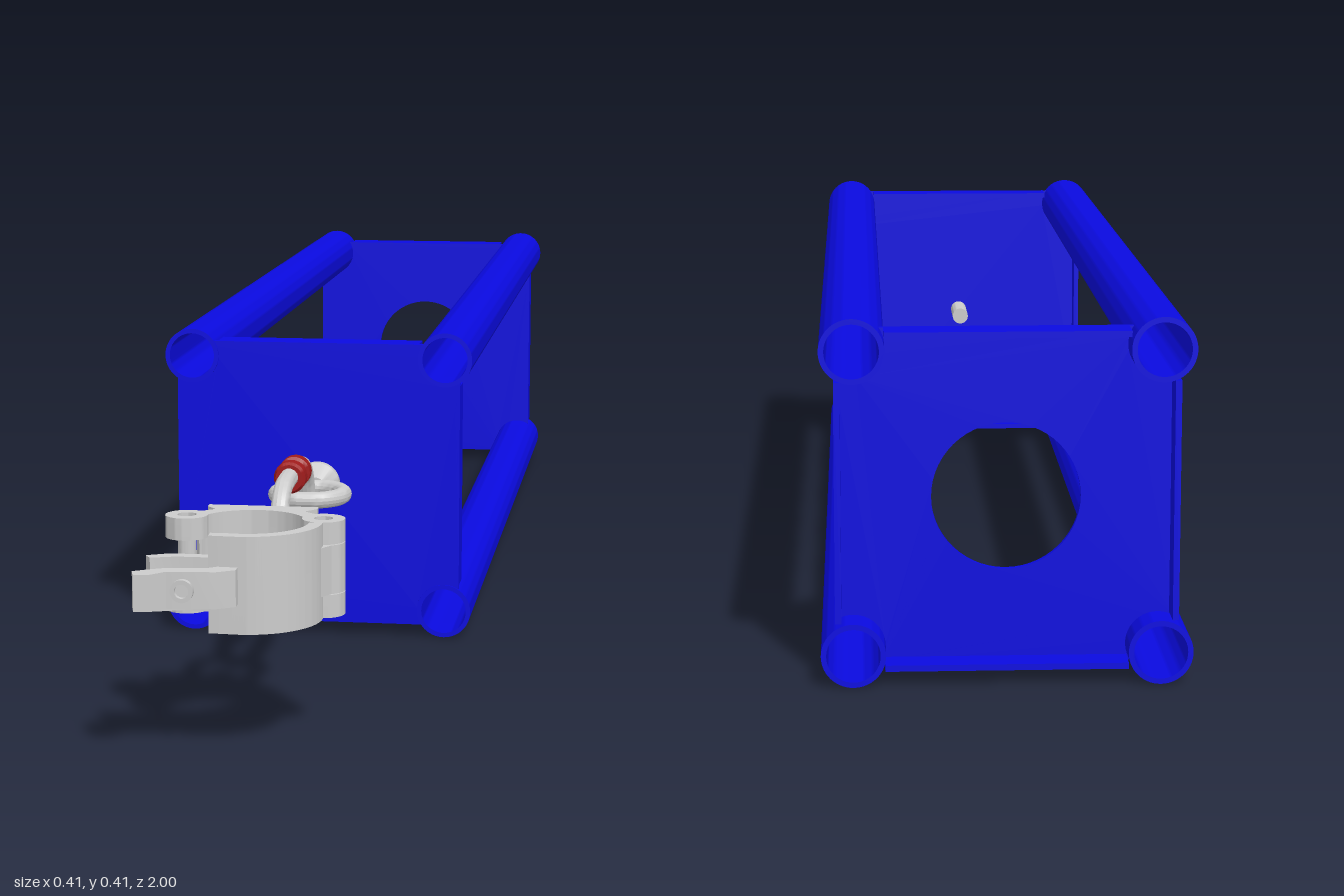
import * as THREE from 'three';
import { toCreasedNormals } from 'three/addons/utils/BufferGeometryUtils.js';

const blue = new THREE.MeshStandardMaterial({ color: 0x0a0ae0 });
const steel = new THREE.MeshStandardMaterial({ color: 0xcccccc });
const red = new THREE.MeshStandardMaterial({ color: 0xa01c1c });
const MID = 0.209; // height of the central axis

function add(parent, name, geometry, material, x = 0, y = 0, z = 0) {
  const mesh = new THREE.Mesh(toCreasedNormals(geometry, 0.6), material);
  mesh.name = name;
  mesh.position.set(x, y, z);
  parent.add(mesh);
  return mesh;
}

const extrude = (shape, depth) =>
  new THREE.ExtrudeGeometry(shape, { depth, bevelEnabled: false, curveSegments: 28 });

const hole = (x, y, r) => new THREE.Path().absarc(x, y, r, 0, Math.PI * 2, true);

function ring(x, y, outer, inner) {
  const s = new THREE.Shape().absarc(x, y, outer, 0, Math.PI * 2, false);
  s.holes.push(hole(x, y, inner));
  return s;
}

// Plan outline in (x, z), extruded vertically between two heights
function slab(parent, name, shape, y0, y1) {
  return add(parent, name, extrude(shape, y1 - y0).rotateX(Math.PI / 2), steel, 0, y1, 0);
}

// Solid of revolution about the z axis, profile as [radius, z]
const turned = (profile, sides = 28) =>
  new THREE.LatheGeometry(profile.map(([r, z]) => new THREE.Vector2(r, z)), sides).rotateX(Math.PI / 2);

const polygon = pts => new THREE.Shape(pts.map(([x, y]) => new THREE.Vector2(x, y)));

// End plate: corners scooped around the tubes, edges folded backwards
function endPlate(name, zFace, holeRadius) {
  const g = new THREE.Group();
  g.name = name;
  const t = 0.007, depth = 0.041, half = 0.19, c = 0.17;
  const shape = new THREE.Shape();
  for (let i = 0; i < 4; i++) {
    const turn = i * Math.PI / 2, start = Math.atan2(-0.03, 0.02), end = Math.atan2(0.02, -0.03);
    const a = Math.PI / 4 + turn, d = c * Math.SQRT2;
    shape.absarc(d * Math.cos(a), d * Math.sin(a), 0.036, start + turn, end + turn, true);
  }
  shape.closePath();
  if (holeRadius) shape.holes.push(hole(0, 0, holeRadius));
  add(g, 'plateFace', extrude(shape, t), blue, 0, 0, -t);
  for (let i = 0; i < 4; i++) {
    const flange = new THREE.BoxGeometry(0.27, t, depth).translate(0, half - t / 2, -depth / 2);
    add(g, 'plateFlange', flange.rotateZ(i * Math.PI / 2), blue);
  }
  g.position.set(0, MID, zFace);
  return g;
}

function buildFrame() {
  const g = new THREE.Group();
  g.name = 'frame';
  for (const x of [-0.17, 0.17]) for (const y of [-0.17, 0.17])
    add(g, 'cornerTube', extrude(ring(0, 0, 0.036, 0.03), 1.357), blue, x, MID + y, -1);
  g.add(endPlate('frontPlate', 0.355, 0), endPlate('backPlate', -0.953, 0.083));
  return g;
}

function buildEyeBolt() {
  const g = new THREE.Group();
  g.name = 'eyeBolt';
  add(g, 'boltShank', turned([[0, 0.275], [0.012, 0.275], [0.012, 0.36], [0, 0.36]]), steel);
  add(g, 'boltCollar', turned([[0, 0.355], [0.03, 0.355], [0.03, 0.365], [0.014, 0.385], [0, 0.385]]), steel);
  add(g, 'boltEye', new THREE.TorusGeometry(0.044, 0.011, 16, 40).rotateX(Math.PI / 2), steel, 0, 0, 0.426);
  g.position.y = MID;
  return g;
}

// Oval link standing in the vertical plane, with its screw sleeve on top
function buildLink() {
  const g = new THREE.Group();
  g.name = 'quickLink';
  const pts = [], r = 0.053, straight = 0.056;
  for (let i = 0; i < 2; i++) {
    for (let k = 0; k <= 8; k++) {
      const a = -Math.PI / 2 + Math.PI * (i + k / 8);
      pts.push(new THREE.Vector3(0, r * Math.sin(a), r * Math.cos(a) + (i ? -straight : straight)));
    }
  }
  const path = new THREE.CatmullRomCurve3(pts, true, 'centripetal');
  add(g, 'linkWire', new THREE.TubeGeometry(path, 96, 0.0115, 14, true), steel);
  const sleeve = [[0, -0.03], [0.017, -0.03], [0.02, -0.026], [0.02, -0.01], [0.016, -0.007],
    [0.016, 0.007], [0.02, 0.01], [0.02, 0.026], [0.017, 0.03], [0, 0.03]];
  add(g, 'linkSleeve', turned(sleeve), red, 0, r, 0);
  g.position.set(0, MID, 0.564);
  return g;
}

// Eye nut joining the link to the clamp
function buildEyeNut() {
  const g = new THREE.Group();
  g.name = 'eyeNut';
  const pts = [new THREE.Vector3(0.036, 0, 0.755)];
  for (let k = 0; k <= 10; k++) {
    const a = Math.PI * k / 10;
    pts.push(new THREE.Vector3(0.043 * Math.cos(a), 0, 0.694 - 0.043 * Math.sin(a)));
  }
  pts.push(new THREE.Vector3(-0.036, 0, 0.755));
  add(g, 'nutBow', new THREE.TubeGeometry(new THREE.CatmullRomCurve3(pts), 48, 0.011, 14), steel);
  const base = turned([[0, 0.742], [0.036, 0.742], [0.045, 0.752], [0.045, 0.766], [0.036, 0.779], [0, 0.779]]);
  add(g, 'nutBase', base.scale(1, 0.62, 1), steel);
  add(g, 'nutStud', turned([[0, 0.718], [0.013, 0.718], [0.013, 0.78], [0, 0.78]]), steel);
  g.position.y = MID;
  return g;
}

// Half coupler with its jaw, hinge and closing tongue
function buildClamp() {
  const g = new THREE.Group();
  g.name = 'clamp';
  const y0 = 0.153, y1 = 0.265, cz = 0.866, ex = 0.08, ez = 0.837;

  // Saddle: flat foot with a round seat
  const saddle = new THREE.Shape();
  saddle.moveTo(-0.065, 0.777);
  saddle.lineTo(0.065, 0.777);
  saddle.lineTo(0.065, 0.788);
  saddle.lineTo(0.053, 0.803);
  saddle.lineTo(0.072, 0.82);
  saddle.lineTo(0.064, 0.846);
  saddle.absarc(0, cz, 0.064, -0.32, -Math.PI + 0.32, true);
  saddle.lineTo(-0.064, 0.846);
  saddle.lineTo(-0.072, 0.82);
  saddle.lineTo(-0.053, 0.803);
  saddle.lineTo(-0.065, 0.788);
  saddle.closePath();
  slab(g, 'saddle', saddle, y0, y1);

  // Forked ears on both sides, each with a pin
  for (const x of [-ex, ex]) {
    for (const [a, b] of [[y0, 0.18], [0.239, y1]]) slab(g, 'saddleEar', ring(x, ez, 0.025, 0.011), a, b);
    add(g, 'earPin', new THREE.CylinderGeometry(0.011, 0.011, 0.1, 20), steel, x, MID, ez);
  }
  slab(g, 'jawKnuckle', ring(ex, ez, 0.025, 0.011), 0.181, 0.238);

  // Jaw: curved arm from the hinge round to the front
  const jaw = new THREE.Shape();
  jaw.absarc(0, cz, 0.083, -0.05, 1.65, false);
  jaw.lineTo(-0.034, 0.947);
  jaw.lineTo(-0.034, 0.932);
  jaw.absarc(0, cz, 0.067, 1.75, -0.05, true);
  jaw.closePath();
  slab(g, 'jaw', jaw, y0, y1);
  slab(g, 'jawHingeArm', polygon([[0.067, 0.845], [0.1, 0.845], [0.083, 0.875], [0.066, 0.875]]), 0.181, 0.238);
  slab(g, 'jawLip', polygon([[-0.03, 0.932], [-0.03, 0.947], [-0.07, 0.947], [-0.098, 0.957],
    [-0.105, 0.945], [-0.08, 0.932]]), 0.178, 0.24);

  // Tongue: narrow latch with a hooked end and a bolt boss
  slab(g, 'tongue', polygon([[0, 0.945], [0, 0.962], [-0.02, 0.975], [-0.075, 0.98], [-0.09, 0.997],
    [-0.108, 1], [-0.113, 0.982], [-0.098, 0.972], [-0.08, 0.962], [-0.035, 0.957], [-0.02, 0.945]]), 0.188, 0.23);
  add(g, 'tongueBoss', extrude(ring(0, 0, 0.013, 0.008), 0.04), steel, -0.057, MID, 0.945);
  return g;
}

export function createModel() {
  const model = new THREE.Group();
  model.name = 'tubeFrameWithClamp';
  model.add(buildFrame(), buildEyeBolt(), buildLink(), buildEyeNut(), buildClamp());
  return model;
}
